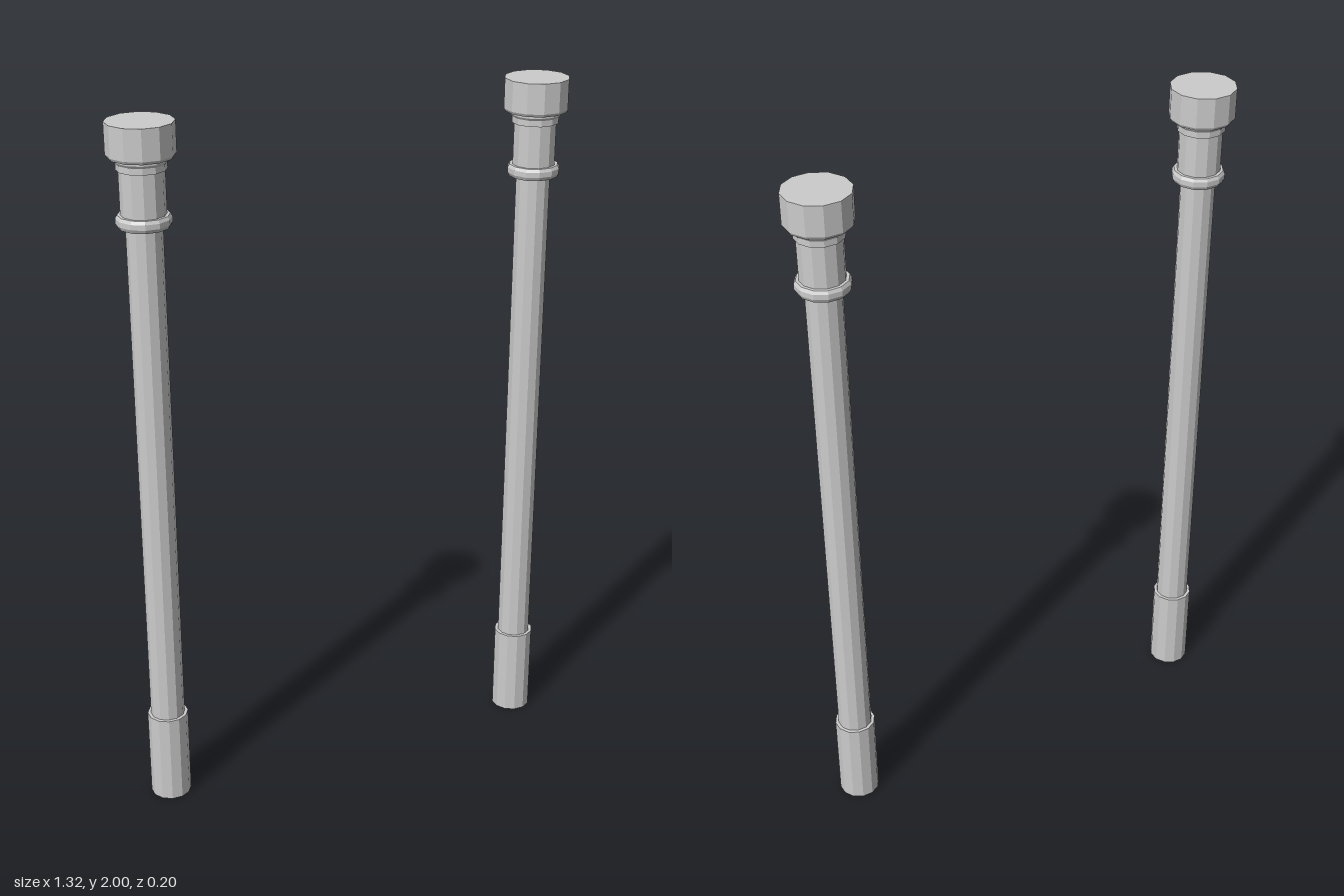
import * as THREE from 'three';

const SIDES = 12;
// Radii below are measured across the flats, so widen them to the corners
const CORNER = 1 / Math.cos(Math.PI / SIDES);

const material = new THREE.MeshStandardMaterial({ color: 0xcccccc, flatShading: true });

// Twelve-sided turned part from [radius, height] points, listed upward
function turned(name, profile) {
  const points = profile.map(([r, y]) => new THREE.Vector2(r * CORNER, y));
  const geometry = new THREE.LatheGeometry(points, SIDES, Math.PI / SIDES);
  const mesh = new THREE.Mesh(geometry, material);
  mesh.name = name;
  return mesh;
}

function createColumn(name) {
  const column = new THREE.Group();
  column.name = name;
  column.add(
    // Plain foot with a small ledge up to the shaft
    turned('base', [[0, 0], [0.056, 0], [0.056, 0.265], [0.047, 0.265]]),
    turned('shaft', [[0.047, 0.265], [0.047, 1.73]]),
    // Rounded ring at the top of the shaft
    turned('collar', [
      [0.047, 1.725], [0.066, 1.725], [0.071, 1.735],
      [0.071, 1.749], [0.066, 1.758], [0.058, 1.758],
    ]),
    turned('neck', [[0.058, 1.757], [0.058, 1.877]]),
    // Stepped moulding under the cap
    turned('moulding', [[0.058, 1.876], [0.064, 1.876], [0.064, 1.893], [0.069, 1.9], [0.069, 1.91]]),
    turned('capital', [[0.06, 1.908], [0.083, 1.908], [0.0875, 1.916], [0.0875, 2], [0, 2]]),
  );
  return column;
}

export function createModel() {
  const model = new THREE.Group();
  model.name = 'columnPair';
  // The two columns stand slightly offset in depth
  for (const [name, side] of [['leftColumn', 1], ['rightColumn', -1]]) {
    const column = createColumn(name);
    column.position.set(side * 0.572, 0, side * -0.011);
    model.add(column);
  }
  return model;
}
